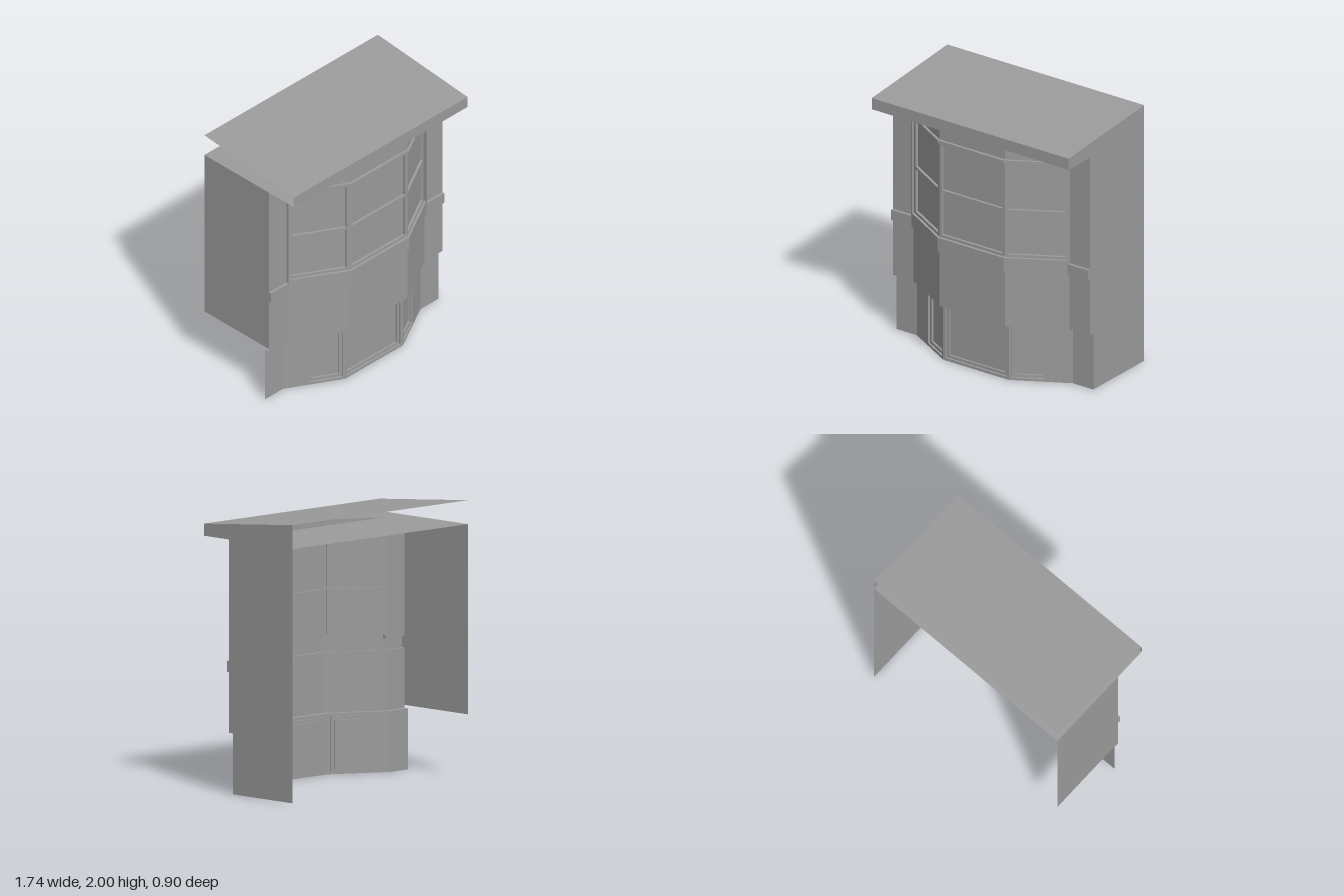
import * as THREE from 'three';

const material = new THREE.MeshStandardMaterial({ color: 0x9b9b9b, flatShading: true, side: THREE.DoubleSide });
const W = 0.87;

// Plan line of the facade, bulging into a three-sided bay
const plan = (zFlank, zBay) => [
  [-W, zFlank], [-0.69, zFlank], [-0.29, zBay], [0.29, zBay], [0.69, zFlank], [W, zFlank],
];
const lowerPlan = plan(0.16, 0.385);
const upperPlan = plan(0.2, 0.43);
const trimPlan = plan(0.222, 0.452);
const eavesPlan = plan(0.455, 0.455);

function addMesh(parent, name, geometry) {
  const mesh = new THREE.Mesh(geometry, material);
  mesh.name = name;
  parent.add(mesh);
  return mesh;
}

// Four-cornered faces, each given as [a, b, c, d] counter-clockwise
function quads(faces) {
  const geometry = new THREE.BufferGeometry();
  const points = faces.flatMap(([a, b, c, d]) => [a, b, c, a, c, d]);
  geometry.setAttribute('position', new THREE.Float32BufferAttribute(points.flat(), 3));
  geometry.computeVertexNormals();
  return geometry;
}

// Upright faces following a plan line
function strip(line, y0, y1) {
  return line.slice(1).map(([xb, zb], i) => {
    const [xa, za] = line[i];
    return [[xa, y0, za], [xb, y0, zb], [xb, y1, zb], [xa, y1, za]];
  });
}

// Level faces joining two plan lines
function ledge(inner, outer, y) {
  return inner.slice(1).map(([xb, zb], i) => {
    const [xa, za] = inner[i];
    return [[xa, y, outer[i][1]], [xb, y, outer[i + 1][1]], [xb, y, zb], [xa, y, za]];
  });
}

const corners = ([u0, v0, u1, v1]) => [[u0, v0], [u1, v0], [u1, v1], [u0, v1]];

// Flat rectangle with rectangular holes
function plate(rect, holes = []) {
  const toPoints = (r) => corners(r).map(([u, v]) => new THREE.Vector2(u, v));
  const shape = new THREE.Shape(toPoints(rect));
  holes.forEach((h) => shape.holes.push(new THREE.Path(toPoints(h))));
  return new THREE.ShapeGeometry(shape);
}

// Four inner faces of a recess
function reveal(rect, z0, z1) {
  const c = corners(rect);
  return quads(c.map(([u, v], i) => {
    const [s, t] = c[(i + 1) % 4];
    return [[u, v, z0], [s, t, z0], [s, t, z1], [u, v, z1]];
  }));
}

// Group lying along one side of a plan line: local x runs along it, z points outward
function segmentGroup(parent, name, line, i) {
  const [xa, za] = line[i];
  const [xb, zb] = line[i + 1];
  const group = new THREE.Group();
  group.name = name;
  group.position.set(xa, 0, za);
  group.rotation.y = -Math.atan2(zb - za, xb - xa);
  parent.add(group);
  const length = Math.hypot(xb - xa, zb - za);
  const along = (x) => ((x - xa) / (xb - xa)) * length;
  return { group, length, along };
}

// Window set into a wall hole; a sash gives it a second step
function addWindow(parent, rect, depth, sash) {
  const [u0, v0, u1, v1] = rect;
  addMesh(parent, 'windowReveal', reveal(rect, -depth, 0));
  if (!sash) {
    addMesh(parent, 'windowPane', plate(rect)).position.z = -depth;
    return;
  }
  const inner = [u0 + sash, v0 + sash, u1 - sash, v1 - sash];
  addMesh(parent, 'windowSash', plate(rect, [inner])).position.z = -depth;
  addMesh(parent, 'sashReveal', reveal(inner, -2 * depth, -depth));
  addMesh(parent, 'windowPane', plate(inner)).position.z = -2 * depth;
}

// Three bay walls with windows; openings are [xNear, xFar] for centre and side
function addBay(parent, name, line, y0, y1, centre, side, rows, depth, sash) {
  const ranges = [[-side[1], -side[0]], centre, side];
  ranges.forEach(([xa, xb], k) => {
    const { group, length, along } = segmentGroup(parent, name, line, k + 1);
    const holes = rows.map(([v0, v1]) => [along(xa), v0, along(xb), v1]);
    addMesh(group, 'bayWall', plate([0, y0, length, y1], holes));
    holes.forEach((h) => addWindow(group, h, depth, sash));
  });
}

export function createModel() {
  const model = new THREE.Group();
  model.name = 'bayFrontBuilding';

  // Ground floor
  addBay(model, 'lowerBay', lowerPlan, 0, 0.438, [-0.27, 0.268], [0.307, 0.517], [[0.02, 0.416]], 0.015, 0.021);
  const ends = (l) => [l.slice(0, 2), l.slice(4)];
  addMesh(model, 'lowerFlanks', quads(ends(lowerPlan).flatMap((l) => strip(l, 0, 0.438))));
  addMesh(model, 'overhang', quads(ledge(upperPlan, lowerPlan, 0.438)));

  // Plain wall between the floors
  addMesh(model, 'spandrelWall', quads(strip(upperPlan, 0.438, 0.873)));

  // Projecting sill band, slightly lower on the flanks
  const bay = (l) => l.slice(1, 5);
  const [trimEnds, wallEnds] = [ends(trimPlan), ends(upperPlan)];
  addMesh(model, 'sillBand', quads([
    ...ledge(upperPlan, trimPlan, 0.873),
    ...strip(bay(trimPlan), 0.873, 0.98),
    ...ledge(bay(upperPlan), bay(trimPlan), 0.98),
    ...trimEnds.flatMap((l, i) => [...strip(l, 0.873, 0.955), ...ledge(wallEnds[i], l, 0.955)]),
  ]));

  // Upper floor
  addBay(model, 'upperBay', upperPlan, 0.98, 1.828, [-0.27, 0.268], [0.31, 0.66],
    [[1.0, 1.33], [1.35, 1.7]], 0.02, 0);
  addMesh(model, 'upperFlanks', quads(wallEnds.flatMap((l) => strip(l, 0.955, 1.828))));

  // Window head trim and end trims
  addMesh(model, 'headTrim', quads([
    ...strip(bay(trimPlan), 1.72, 1.742),
    ...ledge(bay(upperPlan), bay(trimPlan), 1.72),
    ...ledge(bay(upperPlan), bay(trimPlan), 1.742),
  ]));
  for (const s of [-1, 1]) {
    const line = [[0.682, 0.204], [0.682, 0.227], [0.694, 0.222], [0.694, 0.2]];
    addMesh(model, 'endTrim', quads(strip(line.map(([x, z]) => [s * x, z]), 0.955, 1.742)));
  }

  // Side walls: the left reaches from ground to roof, the right spans the upper floor only
  const upperEdge = [
    [0.2, 0.873], [0.222, 0.873], [0.222, 0.955], [0.2, 0.955], [0.2, 1.828],
  ];
  const addSide = (name, x, points) => {
    const shape = new THREE.Shape(points.map(([z, y]) => new THREE.Vector2(z, y)));
    const wall = addMesh(model, name, new THREE.ShapeGeometry(shape));
    wall.rotation.y = -Math.PI / 2;
    wall.position.x = x;
  };
  addSide('leftWall', W, [
    [-0.45, 0], [0.16, 0], [0.16, 0.438], [0.2, 0.438], ...upperEdge,
    [0.455, 1.828], [0.455, 1.915], [-0.45, 2],
  ]);
  addSide('rightWall', -W, [[-0.45, 0.46], [0.2, 0.46], ...upperEdge, [-0.45, 1.828]]);

  // Sloping roof, fascia, ceiling and eaves soffit, open at the back and over the bay
  const across = (ya, za, yb, zb) => quads([[[-W, ya, za], [W, ya, za], [W, yb, zb], [-W, yb, zb]]]);
  addMesh(model, 'roof', across(1.915, 0.455, 2, -0.45));
  addMesh(model, 'fascia', across(1.828, 0.455, 1.915, 0.455));
  addMesh(model, 'ceiling', across(1.828, -0.45, 1.828, 0.2));
  addMesh(model, 'eavesSoffit', quads(ledge(upperPlan, eavesPlan, 1.828)));

  return model;
}
